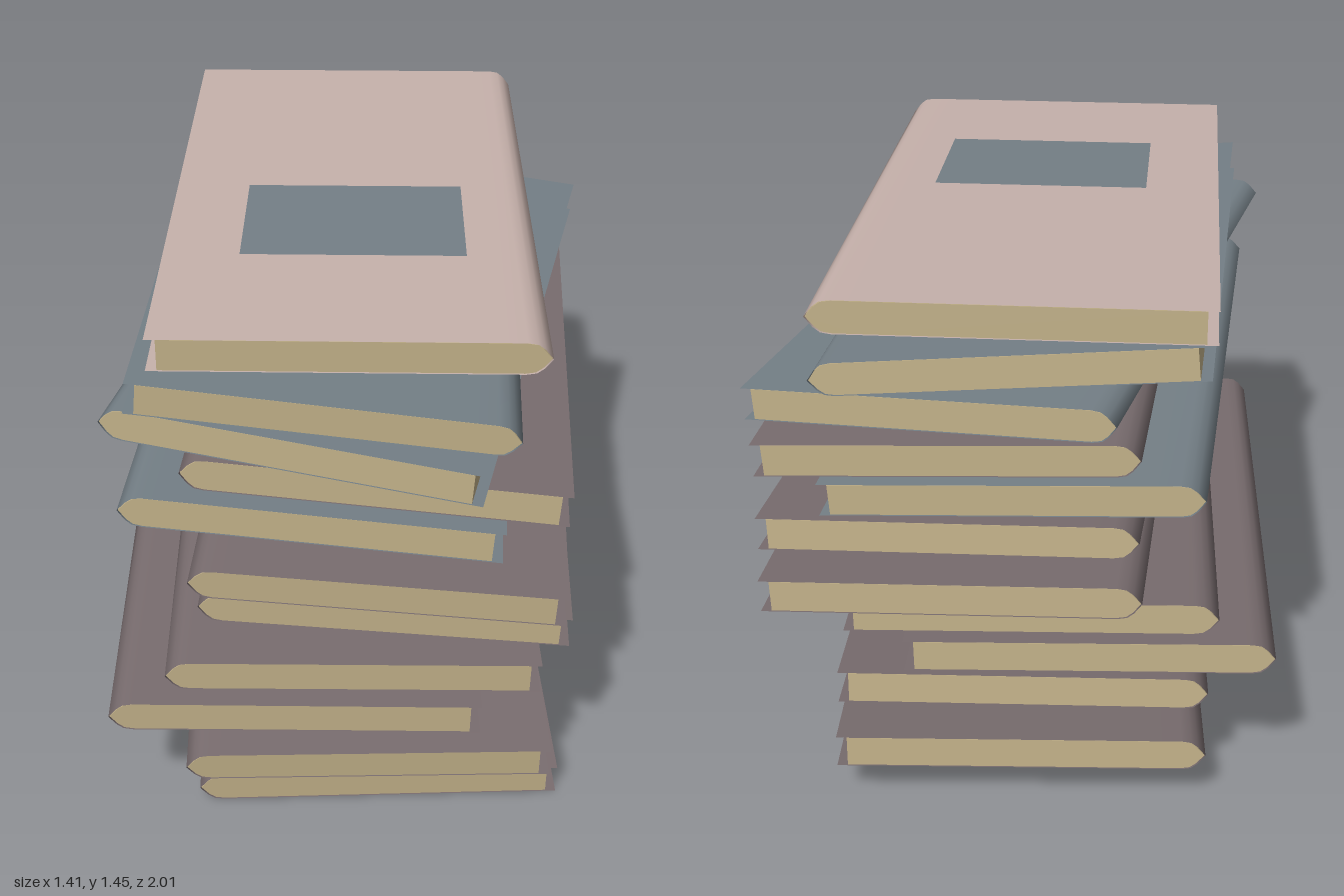
import * as THREE from 'three';

const LENGTH = 1.79;

// Cover profile: bottom fore edge, round the spine (at -x), back to the top fore edge
const half = [[0.49, 0.043], [-0.37, 0.043], [-0.425, 0.043], [-0.45, 0.039], [-0.467, 0.026]];
const coverProfile = [
  ...half.map(([x, y]) => [x, -y]),
  [-0.488, 0],
  ...[...half].reverse(),
];

// Cover: one thin sheet folded along the profile
function coverGeometry() {
  const geo = new THREE.PlaneGeometry(1, LENGTH, coverProfile.length - 1, 1);
  const pos = geo.attributes.position;
  for (let i = 0; i < pos.count; i++) {
    const [x, y] = coverProfile[i % coverProfile.length];
    pos.setXYZ(i, x, y, -pos.getY(i));
  }
  geo.computeVertexNormals();
  return geo;
}

// Page block: fills the cover, set back at the fore edge
function pagesGeometry() {
  const depth = LENGTH - 0.004;
  const outline = coverProfile.map(([x, y]) =>
    new THREE.Vector2(x > 0 ? 0.462 : x + 0.003, y * 0.96));
  const geo = new THREE.ExtrudeGeometry(new THREE.Shape(outline), { depth, bevelEnabled: false });
  geo.translate(0, 0, -depth / 2);
  return geo;
}

// Bottom to top: x, y, z, yaw, pitch, roll (degrees), cover colour, spine on the +x side
const BOOKS = [
  [0.07, 0.101, -0.035, 8.5, 3.6, 0, 'plum', false],
  [0.06, 0.238, 0.02, 7.6, 5.2, 0, 'plum', false],
  [-0.12, 0.378, 0.065, 6.9, 2.4, -1.1, 'plum', false],
  [0.03, 0.503, 0.035, 6.9, 2.4, -0.9, 'plum', false],
  [0.157, 0.613, -0.08, 3.1, 2.4, -2.6, 'plum', false],
  [0.157, 0.739, -0.028, 2.1, 3.7, -2.5, 'plum', false],
  [-0.008, 0.902, -0.015, 1.9, 0.8, -3.9, 'blue', false],
  [0.152, 1.01, -0.03, 1.9, 0.6, -3.9, 'plum', false],
  [0.073, 1.115, 0, -6.6, 0.5, -4, 'blue', false],
  [0.01, 1.234, -0.028, 2.9, 2.3, -5.5, 'blue', true],
  [0.033, 1.387, -0.046, 5.3, 1.3, 0, 'pink', true],
];

export function createModel() {
  const model = new THREE.Group();
  model.name = 'bookStack';

  const paint = (color) => new THREE.MeshStandardMaterial({ color, side: THREE.DoubleSide });
  const covers = { plum: paint(0x786c6e), blue: paint(0x747f86), pink: paint(0xc6b1ab) };
  const paper = new THREE.MeshStandardMaterial({ color: 0xc2b189 });
  const coverGeo = coverGeometry();
  const pagesGeo = pagesGeometry();
  const rad = THREE.MathUtils.degToRad;

  let topBook;
  BOOKS.forEach(([x, y, z, yaw, pitch, roll, color, flipped], i) => {
    const book = new THREE.Group();
    book.name = `book${i + 1}`;
    book.position.set(x, y, z);
    book.rotation.set(rad(pitch), rad(yaw), rad(roll), 'YXZ');

    const cover = new THREE.Mesh(coverGeo, covers[color]);
    cover.name = 'cover';
    const pages = new THREE.Mesh(pagesGeo, paper);
    pages.name = 'pages';
    if (flipped) cover.rotation.y = pages.rotation.y = Math.PI;

    book.add(cover, pages);
    model.add(book);
    topBook = book;
  });

  // Plain panel on the top book's cover
  const panel = new THREE.Mesh(new THREE.PlaneGeometry(0.588, 0.432), covers.blue);
  panel.name = 'coverPanel';
  panel.rotation.x = -Math.PI / 2;
  panel.position.set(0.004, 0.0455, 0.224);
  topBook.add(panel);

  return model;
}
